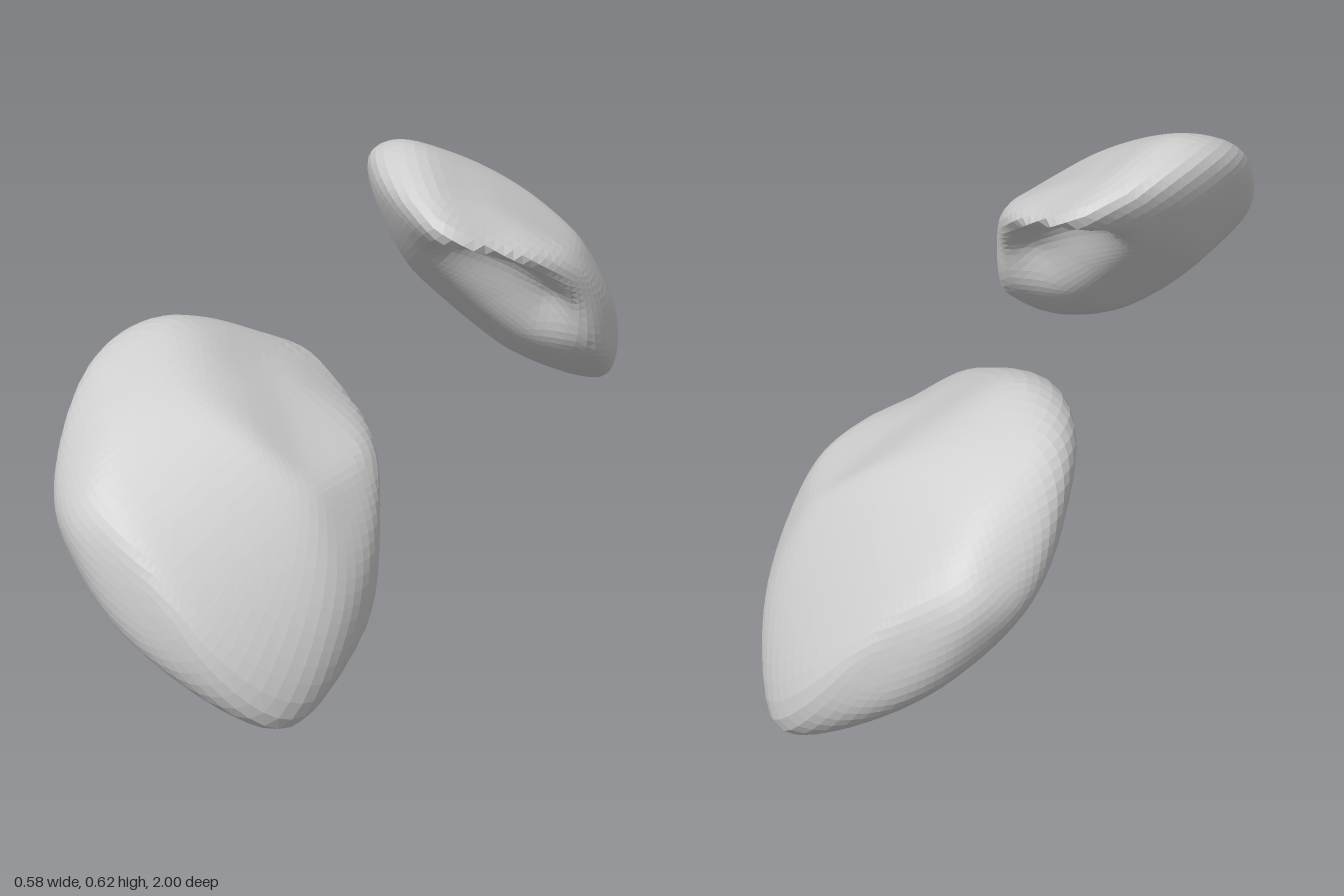
import * as THREE from 'three';

const CENTER = new THREE.Vector3(-0.01, 0.38, 0.75);
const MIDDLE = new THREE.Vector3(0, 0.3175, 0);
const OUT = new THREE.Vector3(0, 0.68, 0.73);
const TROUGH = new THREE.Line3(new THREE.Vector3(0.17, 0.29, 0.59), new THREE.Vector3(0.02, 0.43, 0.49));
const GROW = 1.04; // makes up for the rounding where outlines meet
const SHARPNESS = 22;

// Outlines of the front stone along the main axes
const FRONT_XY = [
  [0.2, 0], [0.235, 0.015], [0.275, 0.1], [0.29, 0.2], [0.275, 0.33], [0.24, 0.43],
  [0.2, 0.455], [0.1, 0.5], [0, 0.555], [-0.1, 0.615], [-0.18, 0.635], [-0.25, 0.61],
  [-0.285, 0.56], [-0.29, 0.48], [-0.275, 0.38], [-0.21, 0.26], [-0.1, 0.16], [0, 0.09],
  [0.12, 0.025],
];
const SIDE_ZY = [
  [0.9, 0], [0.96, 0.04], [0.997, 0.15], [0.97, 0.33], [0.92, 0.43], [0.86, 0.49],
  [0.74, 0.59], [0.59, 0.635], [0.5, 0.61], [0.42, 0.56], [0.355, 0.515], [0.365, 0.485],
  [0.44, 0.44], [0.52, 0.38], [0.575, 0.3], [0.63, 0.2], [0.68, 0.14], [0.75, 0.08],
  [0.84, 0.02],
];
const TOP_XZ = [
  [0.01, 0.35], [0.05, 0.365], [0.12, 0.41], [0.2, 0.48], [0.26, 0.58], [0.285, 0.7],
  [0.27, 0.82], [0.21, 0.935], [0.12, 0.985], [0.03, 0.997], [-0.07, 0.985], [-0.18, 0.955],
  [-0.255, 0.9], [-0.287, 0.8], [-0.285, 0.63], [-0.25, 0.56], [-0.18, 0.475], [-0.08, 0.405],
  [-0.03, 0.365],
];

// Outlines along four slanting directions
const SLANT_A = [
  [-0.72, -0.19], [-0.7, -0.08], [-0.66, 0], [-0.61, 0.07], [-0.563, 0.11], [-0.468, 0.13],
  [-0.36, 0.12], [-0.25, 0.09], [-0.173, 0.048], [-0.13, -0.017], [-0.113, -0.147],
  [-0.121, -0.277], [-0.139, -0.43], [-0.165, -0.49], [-0.238, -0.567], [-0.303, -0.64],
  [-0.35, -0.654], [-0.4, -0.628], [-0.51, -0.545], [-0.62, -0.43], [-0.684, -0.307],
];
const SLANT_B = [
  [0.117, 0.459], [0.13, 0.52], [0.19, 0.545], [0.268, 0.528], [0.377, 0.48], [0.494, 0.394],
  [0.593, 0.286], [0.667, 0.169], [0.71, 0.06], [0.719, 0.013], [0.693, -0.03], [0.65, -0.03],
  [0.571, 0], [0.463, 0.06], [0.377, 0.134], [0.29, 0.212], [0.216, 0.277], [0.16, 0.359],
];
const SLANT_C = [
  [0.113, 0.325], [0.126, 0.355], [0.19, 0.368], [0.277, 0.394], [0.385, 0.442], [0.48, 0.455],
  [0.58, 0.433], [0.658, 0.381], [0.706, 0.32], [0.719, 0.273], [0.7, 0.212], [0.658, 0.165],
  [0.558, 0.108], [0.45, 0.069], [0.355, 0.06], [0.277, 0.082], [0.203, 0.126],
  [0.156, 0.152], [0.13, 0.212],
];
const SLANT_D = [
  [-0.719, -0.494], [-0.706, -0.385], [-0.675, -0.29], [-0.61, -0.169], [-0.524, -0.06],
  [-0.437, -0.013], [-0.329, 0.017], [-0.22, 0.06], [-0.156, 0.06], [-0.121, 0.013],
  [-0.13, -0.06], [-0.177, -0.177], [-0.25, -0.307], [-0.355, -0.407], [-0.48, -0.49],
  [-0.61, -0.545], [-0.675, -0.558], [-0.706, -0.541],
];

// Distance from the centre to a smoothed outline lying in the plane of two axes
function outlineReach(outline, axisU, axisV, origin) {
  const offset = CENTER.clone().sub(origin);
  const cu = offset.dot(axisU), cv = offset.dot(axisV);
  const curve = new THREE.CatmullRomCurve3(
    outline.map(([u, v]) => new THREE.Vector3(u - cu, v - cv, 0)), true);
  const pts = curve.getPoints(90);
  return (dir) => {
    const du = dir.dot(axisU), dv = dir.dot(axisV);
    const lenSq = du * du + dv * dv;
    if (lenSq < 1e-6) return 10;
    let reach = 0;
    for (let i = 0; i < pts.length - 1; i++) {
      const a = pts[i], b = pts[i + 1];
      const ca = du * a.y - dv * a.x, cb = du * b.y - dv * b.x;
      if (ca * cb > 0 || ca === cb) continue;
      const t = ca / (ca - cb);
      const x = a.x + t * (b.x - a.x), y = a.y + t * (b.y - a.y);
      reach = Math.max(reach, (x * du + y * dv) / lenSq);
    }
    return reach;
  };
}

function slantReach(outline, degrees, flip) {
  const a = THREE.MathUtils.degToRad(degrees), e = THREE.MathUtils.degToRad(25);
  const across = new THREE.Vector3(Math.cos(a), 0, -flip * Math.sin(a));
  const up = new THREE.Vector3(-Math.sin(e) * Math.sin(a), Math.cos(e), -flip * Math.sin(e) * Math.cos(a));
  return outlineReach(outline, across, up, MIDDLE);
}

const X = new THREE.Vector3(1, 0, 0), Y = new THREE.Vector3(0, 1, 0), Z = new THREE.Vector3(0, 0, 1);
const ZERO = new THREE.Vector3();
const REACHES = [
  outlineReach(FRONT_XY, X, Y, ZERO),
  outlineReach(SIDE_ZY, Z, Y, ZERO),
  outlineReach(TOP_XZ, X, Z, ZERO),
  slantReach(SLANT_A, 35, 1),
  slantReach(SLANT_B, 35, -1),
  slantReach(SLANT_C, 215, 1),
  slantReach(SLANT_D, 215, -1),
];

// Rounded blend of the outlines, with a trough in the inner face
function stonePoint(dir) {
  const sum = REACHES.reduce((s, reach) => s + Math.pow(reach(dir), -SHARPNESS), 0);
  const p = dir.clone().multiplyScalar(GROW * Math.pow(sum, -1 / SHARPNESS)).add(CENTER);
  const d = p.distanceTo(TROUGH.closestPointToPoint(p, true, new THREE.Vector3())) / 0.07;
  return p.addScaledVector(OUT, 0.05 * Math.exp(-d * d));
}

function stoneGeometry(mirror) {
  const geometry = new THREE.IcosahedronGeometry(1, 18);
  const source = geometry.attributes.position.clone();
  const target = geometry.attributes.position;
  const dir = new THREE.Vector3();
  for (let i = 0; i < source.count; i++) {
    const p = stonePoint(dir.fromBufferAttribute(source, i).normalize());
    // The mirrored stone reverses each triangle
    const corner = i % 3;
    const slot = mirror ? i - corner + (3 - corner) % 3 : i;
    target.setXYZ(slot, p.x, p.y, mirror ? -p.z : p.z);
  }
  geometry.computeVertexNormals();
  return geometry;
}

export function createModel() {
  const group = new THREE.Group();
  const material = new THREE.MeshStandardMaterial({ color: 0xcccccc, flatShading: true });
  for (const [name, mirror] of [['frontStone', false], ['backStone', true]]) {
    const stone = new THREE.Mesh(stoneGeometry(mirror), material);
    stone.name = name;
    group.add(stone);
  }
  return group;
}
